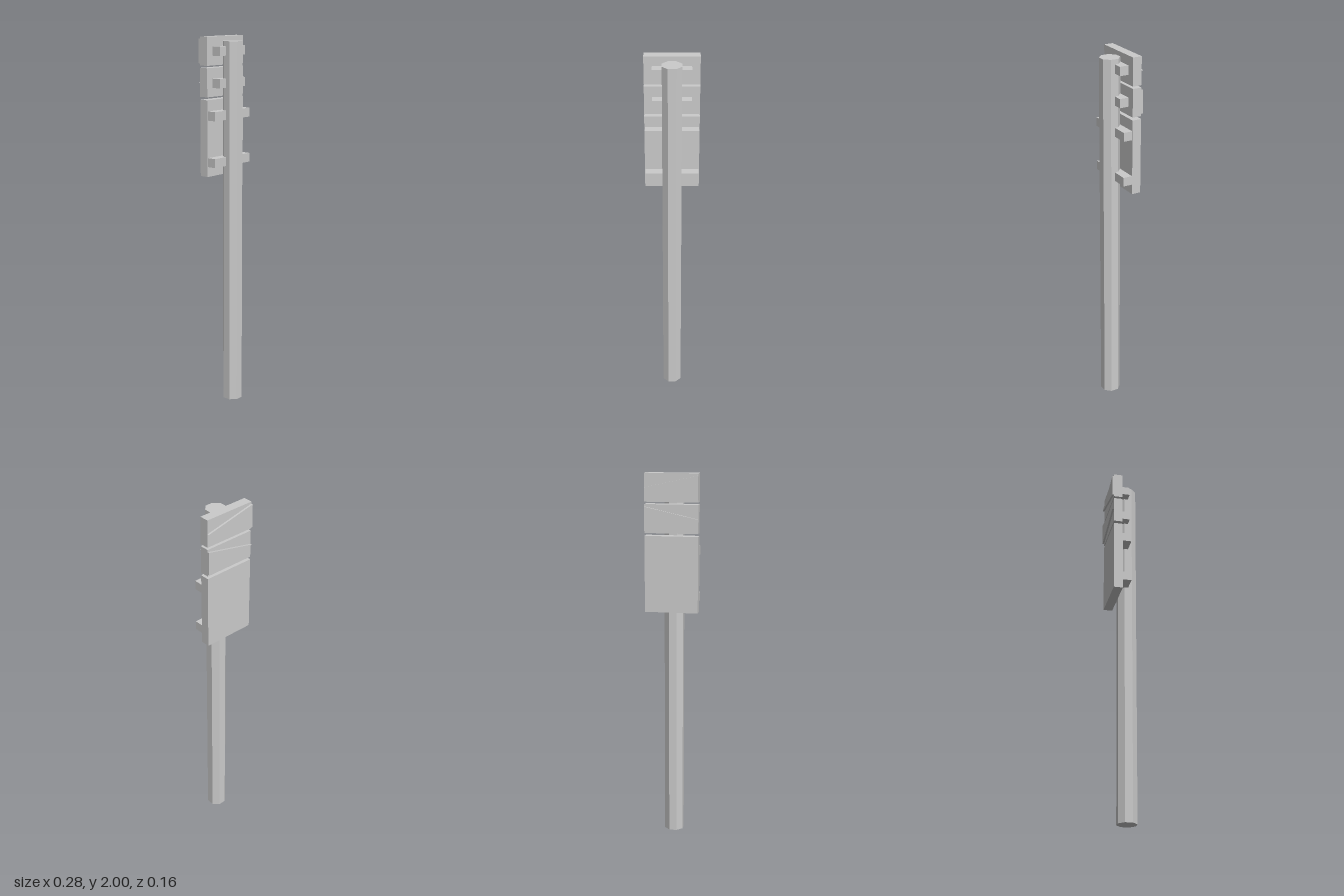
import * as THREE from 'three';

export function createModel() {
  const group = new THREE.Group();
  group.name = 'signpost';
  const material = new THREE.MeshStandardMaterial({ color: 0xcccccc, flatShading: true });

  const add = (name, geometry, x, y, z) => {
    const mesh = new THREE.Mesh(geometry, material);
    mesh.name = name;
    mesh.position.set(x, y, z);
    group.add(mesh);
    return mesh;
  };
  // Box given by half width and its y and z ranges
  const slab = (name, halfWidth, y0, y1, z0, z1) =>
    add(name, new THREE.BoxGeometry(halfWidth * 2, y1 - y0, z1 - z0), 0, (y0 + y1) / 2, (z0 + z1) / 2);

  // Octagonal pole with flats facing front and sides
  const pole = new THREE.CylinderGeometry(0.0545, 0.0545, 1.976, 8);
  pole.rotateY(Math.PI / 8);
  add('pole', pole, 0, 0.988, 0.03);

  // Sign boards on the back of the pole
  const half = 0.142, front = -0.021, back = -0.071;
  slab('largeBoard', half, 1.27, 1.675, back, front);
  slab('middleBoard', half, 1.69, 1.84, back, front);
  slab('topBoard', half, 1.852, 2, back, front);

  // Raised triangular arrows, pointing opposite ways
  const arrow = (name, y, direction) => {
    const shape = new THREE.Shape([
      new THREE.Vector2(direction * half, 0),
      new THREE.Vector2(-direction * half, 0.063),
      new THREE.Vector2(-direction * half, -0.063),
    ]);
    add(name, new THREE.ExtrudeGeometry(shape, { depth: 0.011, bevelEnabled: false }), 0, y, -0.081);
  };
  arrow('topArrow', 1.926, 1);
  arrow('middleArrow', 1.765, -1);

  // Cross bars holding the boards to the pole
  for (const [y, halfWidth] of [[1.926, 0.1], [1.76, 0.1], [1.593, 0.139], [1.347, 0.139]])
    slab('crossBar', halfWidth, y - 0.024, y + 0.024, front, 0.029);

  return group;
}
